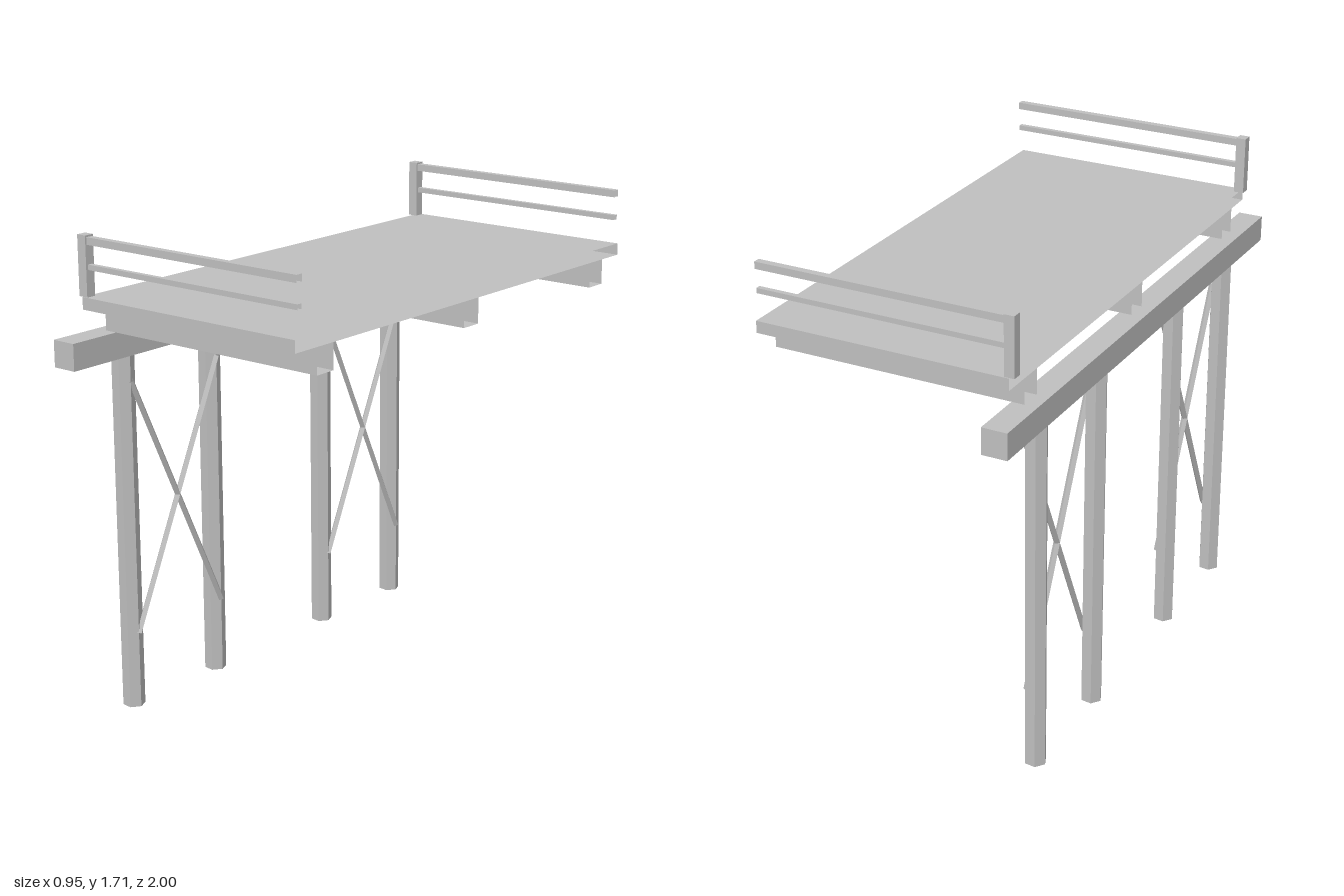
import * as THREE from 'three';

export function createModel() {
  const model = new THREE.Group();
  model.name = 'pierSection';
  const grey = new THREE.MeshStandardMaterial({ color: 0xbfbfbf, side: THREE.DoubleSide, flatShading: true });
  grey.name = 'plain grey';

  const add = (name, geometry, x, y, z) => {
    const mesh = new THREE.Mesh(geometry, grey);
    mesh.name = name;
    mesh.position.set(x, y, z);
    model.add(mesh);
    return mesh;
  };

  // Box without its two x end faces, so the section can continue
  const sleeve = (w, h, d) => {
    const g = new THREE.BoxGeometry(w, h, d);
    g.setIndex(Array.from(g.index.array).slice(12));
    g.clearGroups();
    return g;
  };

  // Deck and the three stringers below it, open at both x ends
  const length = 0.907, midX = 0.02;
  add('deck', sleeve(length, 0.042, 1.814), midX, 1.479, 0);
  for (const z of [-0.765, 0, 0.765]) {
    add('stringer', sleeve(length, 0.09, 0.08), midX, 1.413, z);
  }

  // Cross beam carried by the piles
  add('capBeam', new THREE.BoxGeometry(0.09, 0.093, 2), -0.433, 1.3215, 0);

  // Railings along both sides
  for (const side of [-1, 1]) {
    const z = side * 0.885;
    add('railPost', new THREE.BoxGeometry(0.036, 0.205, 0.036), -0.433, 1.6025, z);
    add('topRail', sleeve(length, 0.025, 0.025), midX, 1.6865, z);
    add('lowerRail', sleeve(length, 0.018, 0.018), midX, 1.599, z);
  }

  // Two pairs of six-sided piles, each pair joined by a cross brace
  const outer = 0.73, inner = 0.305;
  for (const side of [-1, 1]) {
    for (const z of [outer, inner]) {
      add('pile', new THREE.CylinderGeometry(0.039, 0.039, 1.275, 6, 1, true, 0.4), -0.436, 0.6375, side * z);
    }
    const rise = 0.91, run = outer - inner;
    for (const lean of [-1, 1]) {
      const brace = add('crossBrace', new THREE.CylinderGeometry(0.012, 0.012, Math.hypot(rise, run), 4, 1, true),
        -0.402, 0.73, side * (outer + inner) / 2);
      brace.rotation.x = lean * Math.atan2(run, rise);
    }
  }
  return model;
}
